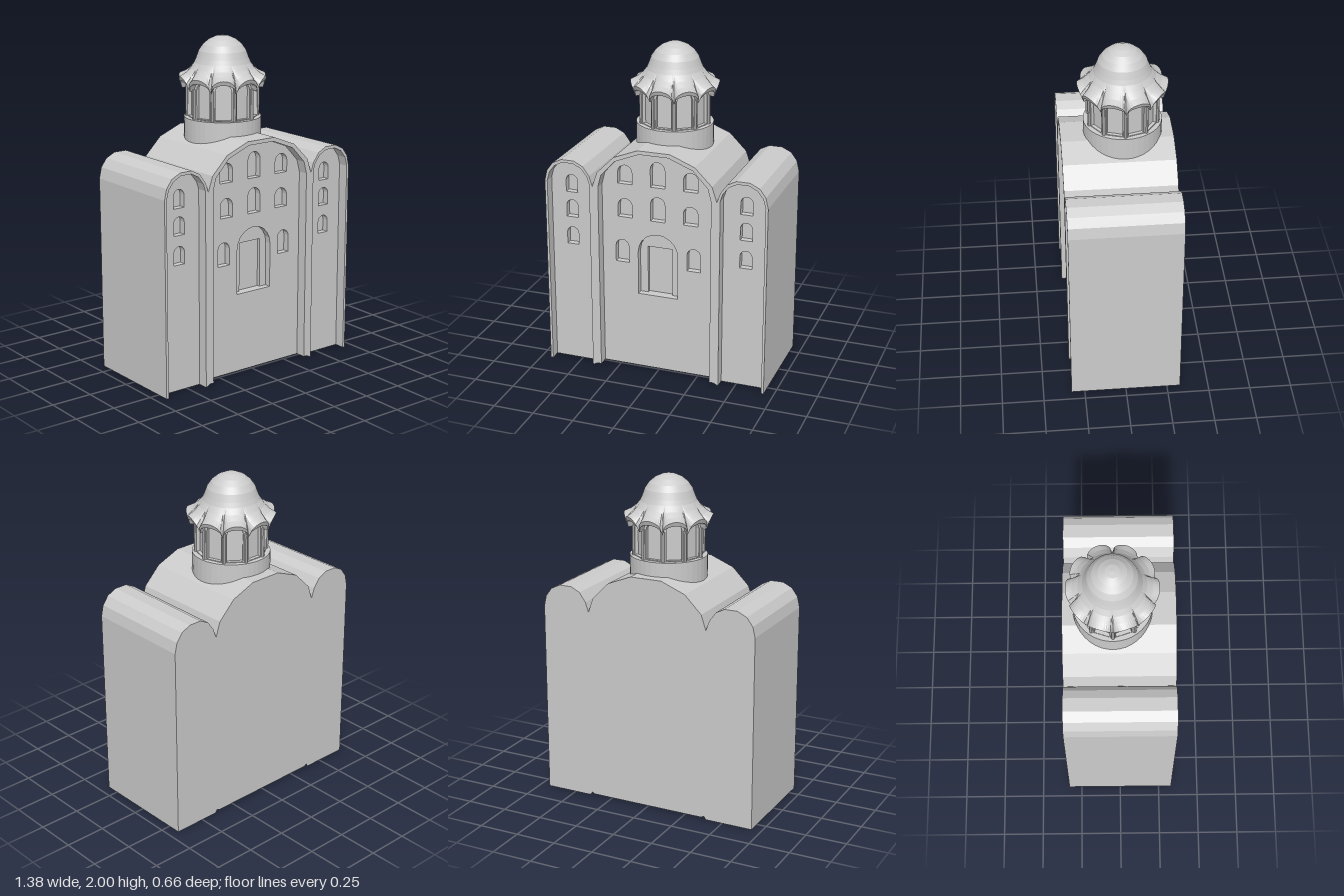
import * as THREE from 'three';

const grey = new THREE.MeshStandardMaterial({ color: 0xcccccc, flatShading: true, side: THREE.DoubleSide });
const FRONT = 0.33, BACK = -0.33, PANEL = 0.265, NICHE = 0.225, DOOR = 0.205;

function add(parent, name, geometry) {
  const mesh = new THREE.Mesh(geometry, grey);
  mesh.name = name;
  parent.add(mesh);
  return mesh;
}

const toShape = (pts) => new THREE.Shape(pts.map(([x, y]) => new THREE.Vector2(x, y)));
const mirror = (pts) => pts.map(([x, y]) => [-x, y]).reverse();

// Flat face at depth z, with optional openings
function face(pts, z, openings = []) {
  const shape = toShape(pts);
  for (const o of openings) shape.holes.push(new THREE.Path(o.map(([x, y]) => new THREE.Vector2(x, y))));
  return new THREE.ShapeGeometry(shape).translate(0, 0, z);
}

// Quads joining an outline at depth z0 to the same outline at z1
function strip(pts, z0, z1, closed = false) {
  const pos = [], n = pts.length;
  for (let i = 0; i < (closed ? n : n - 1); i++) {
    const [ax, ay] = pts[i], [bx, by] = pts[(i + 1) % n];
    pos.push(ax, ay, z0, bx, by, z0, bx, by, z1, ax, ay, z0, bx, by, z1, ax, ay, z1);
  }
  const g = new THREE.BufferGeometry();
  g.setAttribute('position', new THREE.Float32BufferAttribute(pos, 3));
  g.computeVertexNormals();
  return g;
}

// Round-headed opening
function arch(x, y0, y1, hw, steps = 8) {
  const pts = [[x - hw, y0], [x + hw, y0]];
  for (let i = 0; i <= steps; i++) {
    const a = (Math.PI * i) / steps;
    pts.push([x + hw * Math.cos(a), y1 - hw + hw * Math.sin(a)]);
  }
  return pts;
}

// Recessed panel with blind windows
function panel(parent, name, outline, windows) {
  add(parent, name, face(outline, PANEL, windows));
  add(parent, name + 'Reveal', strip(outline, PANEL, FRONT));
  for (const w of windows) {
    add(parent, name + 'WindowReveal', strip(w, NICHE, PANEL, true));
  }
}

function buildBody() {
  const body = new THREE.Group();
  body.name = 'body';

  // Outlines run left to right, from ground to ground
  const sideTop = [[0.385, 1.18], [0.405, 1.24], [0.445, 1.295], [0.5, 1.323], [0.58, 1.323], [0.638, 1.295], [0.675, 1.245], [0.69, 1.18]];
  const centreTop = [[0.1, 1.435], [0.25, 1.375], [0.355, 1.27]];
  const half = [...centreTop, ...sideTop, [0.69, 0]];
  const outer = [...mirror(half), ...half];

  const sidePanel = [[0.405, 0], [0.405, 1.19], [0.42, 1.235], [0.455, 1.28], [0.505, 1.305], [0.575, 1.305], [0.625, 1.28], [0.66, 1.235], [0.675, 1.18], [0.675, 0]];
  const centreHalf = [[0.09, 1.412], [0.24, 1.352], [0.33, 1.255], [0.35, 1.18], [0.35, 0.015]];
  const centrePanel = [...mirror(centreHalf), ...centreHalf];

  add(body, 'wallsAndRoof', strip(outer, BACK, FRONT));
  const notch = [[0.395, 0], [0.38, 0.02], [0.365, 0.01]];
  add(body, 'backWall', face([...outer, ...notch, ...mirror(notch)], BACK));

  // Raised frame around the three panels
  const inner = [...mirror(sidePanel), [-0.375, 0.015], ...centrePanel, [0.375, 0.015], ...sidePanel].reverse();
  add(body, 'frontFrame', face([...outer, ...inner], FRONT));

  // Side panels
  for (const s of [1, -1]) {
    const wins = [[1.1, 1.21], [0.94, 1.05], [0.765, 0.875]].map(([a, b]) => arch(s * 0.545, a, b, 0.037));
    panel(body, s > 0 ? 'leftPanel' : 'rightPanel', s > 0 ? sidePanel : mirror(sidePanel), wins);
    wins.forEach((w) => add(body, 'windowBack', face(w, NICHE)));
  }

  // Centre panel with its windows and doorway
  const wins = [arch(0, 1.195, 1.352, 0.045), arch(0, 0.982, 1.135, 0.045)];
  for (const s of [1, -1]) {
    wins.push(arch(s * 0.205, 1.195, 1.312, 0.045), arch(s * 0.205, 0.985, 1.102, 0.045), arch(s * 0.225, 0.695, 0.838, 0.042));
  }
  wins.forEach((w) => add(body, 'windowBack', face(w, NICHE)));
  const doorway = arch(0, 0.5, 0.897, 0.125, 10);
  panel(body, 'centrePanel', centrePanel, [...wins, doorway]);
  const door = [[-0.077, 0.5], [0.077, 0.5], [0.077, 0.8], [-0.077, 0.8]];
  const surround = [doorway[0], door[0], door[3], door[2], door[1], ...doorway.slice(1)];
  add(body, 'doorSurround', face(surround, NICHE));
  add(body, 'doorReveal', strip(door, DOOR, NICHE, true));
  add(body, 'door', face(door, DOOR));
  return body;
}

// Scalloped dome: [radius, height, scallop amount] for each ring
function domeGeometry() {
  const rings = [[0, 2, 0], [0.04, 1.995, 0], [0.08, 1.977, 0], [0.115, 1.948, 0], [0.14, 1.912, 0], [0.155, 1.87, 0], [0.167, 1.842, 0],
    [0.192, 1.81, 0.1], [0.225, 1.785, 0.4], [0.263, 1.768, 1], [0.253, 1.742, 0.72], [0.195, 1.748, 0.72]];
  const seg = 120, perBay = seg / 10, pos = [], index = [];
  rings.forEach(([r, y, k], j) => {
    for (let i = 0; i <= seg; i++) {
      const a = (2 * Math.PI * i) / seg, u = (2 * (i % perBay)) / perBay - 1;
      const d = k * (1 - Math.sqrt(1 - u * u));
      const rr = r - 0.02 * d * Math.abs(u);
      pos.push(rr * Math.cos(a), y - 0.075 * d, rr * Math.sin(a));
      if (j && i < seg) {
        const p = (j - 1) * (seg + 1) + i, q = p + seg + 1;
        index.push(p, p + 1, q, p + 1, q + 1, q);
      }
    }
  });
  const g = new THREE.BufferGeometry();
  g.setAttribute('position', new THREE.Float32BufferAttribute(pos, 3));
  g.setIndex(index);
  g.computeVertexNormals();
  return g;
}

function buildTower() {
  const tower = new THREE.Group();
  tower.name = 'tower';
  tower.position.z = -0.037;

  add(tower, 'drumBase', new THREE.CylinderGeometry(0.23, 0.23, 0.16, 40).translate(0, 1.44, 0));
  add(tower, 'drumCore', new THREE.CylinderGeometry(0.187, 0.187, 0.25, 10).rotateY(Math.PI / 10).translate(0, 1.645, 0));

  // Ten arched bays with slim columns at the corners
  const R = 0.21, hw = R * Math.sin(Math.PI / 10), apothem = R * Math.cos(Math.PI / 10);
  const bay = toShape([[-hw, 1.52], [hw, 1.52], [hw, 1.76], [-hw, 1.76]]);
  bay.holes.push(new THREE.Path(arch(0, 1.525, 1.742, 0.046).map(([x, y]) => new THREE.Vector2(x, y))));
  const bayGeometry = new THREE.ExtrudeGeometry(bay, { depth: 0.025, bevelEnabled: false }).translate(0, 0, apothem - 0.025);
  const columnGeometry = new THREE.CylinderGeometry(0.011, 0.011, 0.18, 8).translate(0, 1.61, R - 0.002);
  for (let i = 0; i < 10; i++) {
    add(tower, 'archedBay', bayGeometry).rotation.y = (i * Math.PI) / 5;
    add(tower, 'column', columnGeometry).rotation.y = ((i + 0.5) * Math.PI) / 5;
  }

  add(tower, 'dome', domeGeometry());
  return tower;
}

export function createModel() {
  const model = new THREE.Group();
  model.name = 'domedChurch';
  model.add(buildBody(), buildTower());
  return model;
}
